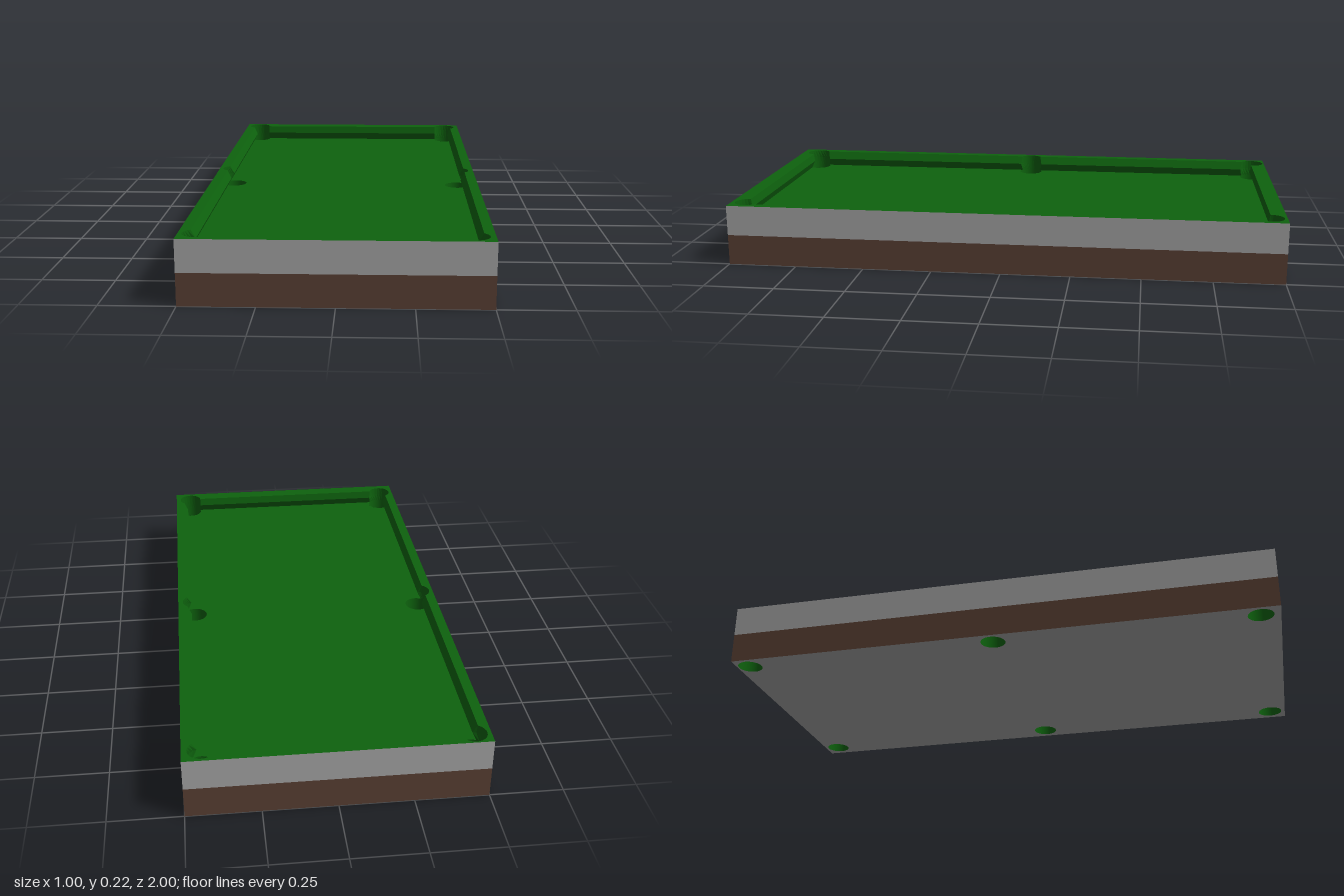
import * as THREE from 'three';

const green = new THREE.MeshStandardMaterial({ color: 0x0e620e });
green.name = 'clothGreen';
const greenInside = green.clone();
greenInside.side = THREE.DoubleSide;
const brown = new THREE.MeshStandardMaterial({ color: 0x5d4236 });
brown.name = 'woodBrown';
const grey = new THREE.MeshStandardMaterial({ color: 0xababab });
grey.name = 'frameGrey';

const TOP = 0.22, MID = 0.11, BED = 0.16, R = 0.045, ARC = 16;

// Pockets in order round the table: centre and the rails before and after it
const LEFT = Math.PI, BACK = -Math.PI / 2, RIGHT = 0, FRONT = Math.PI / 2;
const pockets = [
  [-0.442, -0.95, LEFT, BACK], [0.437, -0.945, BACK, RIGHT], [0.437, -0.002, RIGHT, RIGHT],
  [0.437, 0.941, RIGHT, FRONT], [-0.442, 0.932, FRONT, LEFT], [-0.442, -0.011, LEFT, LEFT],
];

// Rectangle outline whose edges follow the pocket circles, outwards or inwards
function outline(hx, hz, inward = false) {
  const pts = [];
  for (const [cx, cz, before, after] of pockets) {
    const spread = (n) => {
      const nx = Math.cos(n), nz = Math.sin(n);
      const h = Math.abs(nx) > 0.5 ? hx : hz;
      return Math.acos((h - cx * nx - cz * nz) / R);
    };
    const a0 = before - spread(before);
    let a1 = after + spread(after);
    while (a1 < a0) a1 += Math.PI * 2;
    if (inward) a1 -= Math.PI * 2;
    for (let i = 0; i <= ARC; i++) {
      const a = a0 + (a1 - a0) * i / ARC;
      pts.push(new THREE.Vector2(cx + R * Math.cos(a), cz + R * Math.sin(a)));
    }
  }
  return pts;
}

const rect = () => [[-0.5, -1], [0.5, -1], [0.5, 1], [-0.5, 1]].map(([x, z]) => new THREE.Vector2(x, z));

// Horizontal face from (x, z) points, facing up or down
function flat(points, holes, y, up) {
  const s = up ? -1 : 1;
  const turn = (list) => list.map((p) => new THREE.Vector2(p.x, s * p.y));
  const shape = new THREE.Shape(turn(points));
  for (const h of holes) shape.holes.push(new THREE.Path(turn(h)));
  return new THREE.ShapeGeometry(shape).rotateX(s * Math.PI / 2).translate(0, y, 0);
}

// Inward-facing wall joining outlines at successive heights
function loft(levels) {
  const pos = [];
  for (let l = 0; l < levels.length - 1; l++) {
    const [yt, top] = levels[l], [yb, bot] = levels[l + 1];
    for (let i = 0; i < top.length; i++) {
      const j = (i + 1) % top.length;
      const a = [top[i].x, yt, top[i].y], b = [top[j].x, yt, top[j].y];
      const c = [bot[i].x, yb, bot[i].y], d = [bot[j].x, yb, bot[j].y];
      pos.push(...a, ...d, ...b, ...a, ...c, ...d);
    }
  }
  const g = new THREE.BufferGeometry();
  g.setAttribute('position', new THREE.Float32BufferAttribute(pos, 3));
  g.computeVertexNormals();
  return g;
}

export function createModel() {
  const group = new THREE.Group();
  group.name = 'poolTable';
  const add = (name, geometry, material) => {
    const m = new THREE.Mesh(geometry, material);
    m.name = name;
    group.add(m);
  };

  // Rail top, cushions with a projecting nose, and playing bed
  const topEdge = outline(0.465, 0.945);
  add('railTop', flat(rect(), [topEdge], TOP, true), green);
  add('cushions', loft([
    [TOP, topEdge],
    [0.19, outline(0.45, 0.94)],
    [BED, outline(0.465, 0.955)],
  ]), green);
  add('bed', flat(outline(0.465, 0.955, true), [], BED, true), green);

  // Pocket shafts, open right through the table
  const circles = [];
  for (const [cx, cz] of pockets) {
    add('pocket', new THREE.CylinderGeometry(R, R, BED, 32, 1, true).translate(cx, BED / 2, cz), greenInside);
    circles.push(Array.from({ length: 32 }, (_, i) => {
      const a = i / 32 * Math.PI * 2;
      return new THREE.Vector2(cx + R * Math.sin(a), cz + R * Math.cos(a));
    }));
  }
  add('underside', flat(rect(), circles, 0, false), grey);

  // Outer sides in two bands
  for (const [name, y0, y1, mat] of [['lowerSide', 0, MID, brown], ['upperSide', MID, TOP, grey]]) {
    for (let i = 0; i < 4; i++) {
      const g = new THREE.PlaneGeometry(i % 2 ? 2 : 1, y1 - y0);
      g.translate(0, (y0 + y1) / 2, i % 2 ? 0.5 : 1).rotateY(i * Math.PI / 2);
      add(name, g, mat);
    }
  }
  return group;
}
